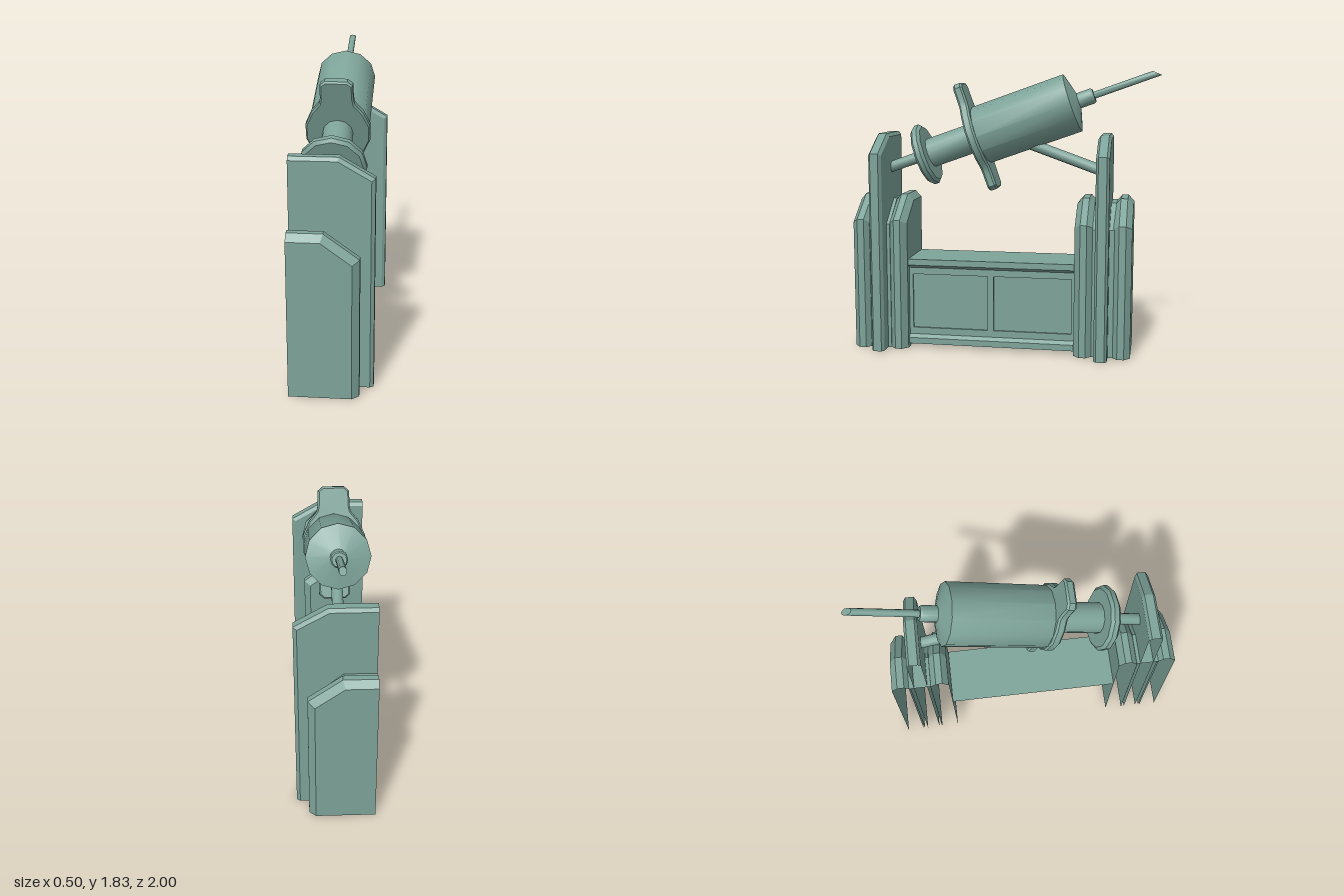
import * as THREE from 'three';
import { toCreasedNormals } from 'three/addons/utils/BufferGeometryUtils.js';

const flat = new THREE.MeshStandardMaterial({ color: 0x7da399, flatShading: true, side: THREE.DoubleSide });
const smooth = new THREE.MeshStandardMaterial({ color: 0x7da399, side: THREE.DoubleSide });
const BACK = -0.25; // open wall side

function add(parent, name, geometry, material = flat) {
  const mesh = new THREE.Mesh(geometry, material);
  mesh.name = name;
  parent.add(mesh);
  return mesh;
}

// Skin over open [x, y] outlines stacked along z; optional flat end caps
function skin(rings, capped) {
  const pos = [];
  const tri = (...pts) => pts.forEach((p) => pos.push(...p));
  const loops = rings.map(({ z, pts }) => pts.map(([x, y]) => [x, y, z]));
  for (let r = 0; r < loops.length - 1; r++) {
    const lo = loops[r], hi = loops[r + 1];
    for (let k = 0; k < lo.length - 1; k++) {
      tri(lo[k], hi[k], hi[k + 1]);
      tri(lo[k], hi[k + 1], lo[k + 1]);
    }
  }
  if (capped) {
    [loops[0], loops[loops.length - 1]].forEach((loop, end) => {
      const poly = [...loop, [BACK, 0.005, loop[0][2]]];
      for (let k = 1; k < poly.length - 1; k++) {
        if (end) tri(poly[0], poly[k + 1], poly[k]);
        else tri(poly[0], poly[k], poly[k + 1]);
      }
    });
  }
  const g = new THREE.BufferGeometry();
  g.setAttribute('position', new THREE.Float32BufferAttribute(pos, 3));
  g.computeVertexNormals();
  return g;
}

// Upright slab with one sloped corner, bevelled on both faces, open at the back and below
function slab(z0, z1, top, kneeX, right, shoulderY, inset, bevelZ) {
  const outline = (i) => [
    [BACK, top - i], [kneeX - 0.35 * i, top - i],
    [right - i, shoulderY - 0.55 * i], [right - i, 0.005],
  ];
  return skin([
    { z: z0, pts: outline(inset) }, { z: z0 + bevelZ, pts: outline(0) },
    { z: z1 - bevelZ, pts: outline(0) }, { z: z1, pts: outline(inset) },
  ], true);
}

function lathe(points, sides = 12) {
  const g = new THREE.LatheGeometry(points.map(([r, y]) => new THREE.Vector2(r, y)), sides);
  return toCreasedNormals(g, 0.6);
}

function rod(a, b, radius) {
  const from = new THREE.Vector3(...a), dir = new THREE.Vector3(...b).sub(from);
  const g = new THREE.CylinderGeometry(radius, radius, dir.length(), 10);
  g.applyQuaternion(new THREE.Quaternion().setFromUnitVectors(
    new THREE.Vector3(0, 1, 0), dir.clone().normalize()));
  g.translate(...from.addScaledVector(dir, 0.5).toArray());
  return toCreasedNormals(g, 0.7);
}

function rect(path, z0, y0, z1, y1) {
  path.moveTo(z0, y0);
  path.lineTo(z1, y0);
  path.lineTo(z1, y1);
  path.lineTo(z0, y1);
  path.closePath();
  return path;
}

export function createModel() {
  const model = new THREE.Group();
  model.name = 'wallSign';

  // Two stepped end pillars, mirrored about the middle of the base
  const mid = 0.083;
  for (const side of [1, -1]) {
    const pillar = new THREE.Group();
    pillar.name = side > 0 ? 'frontPillar' : 'backPillar';
    const put = (name, z0, z1, ...rest) => {
      const a = mid + side * (z0 - mid), b = mid + side * (z1 - mid);
      add(pillar, name, slab(Math.min(a, b), Math.max(a, b), ...rest));
    };
    put('outerSlab', 0.88, 1.0, 1.02, -0.04, 0.167, 0.87, 0.042, 0.038);
    put('filler', 0.75, 0.89, 0.99, -0.05, 0.135, 0.84, 0, 0.02);
    put('tallSlab', 0.772, 0.857, 1.43, 0.04, 0.245, 1.31, 0.022, 0.016);
    put('innerSlab', 0.635, 0.753, 1.02, -0.04, 0.167, 0.87, 0.042, 0.038);
    model.add(pillar);
  }

  // Base between the pillars: moulded profile with two sunken panels
  const profile = [[BACK, 0.605], [0.11, 0.605], [0.11, 0.565], [0.085, 0.545], [0.068, 0.545],
    [0.068, 0.09], [0.085, 0.09], [0.11, 0.07], [0.11, 0.03], [0.068, 0.03]];
  add(model, 'base', skin([{ z: -0.467, pts: profile }, { z: 0.637, pts: profile }], false));
  const frame = rect(new THREE.Shape(), -0.637, 0.09, 0.467, 0.545);
  frame.holes.push(rect(new THREE.Path(), -0.61, 0.135, -0.105, 0.5));
  frame.holes.push(rect(new THREE.Path(), -0.065, 0.135, 0.45, 0.5));
  const frameGeo = new THREE.ExtrudeGeometry(frame, { depth: 0.012, bevelEnabled: false });
  frameGeo.rotateY(Math.PI / 2).translate(0.07, 0, 0);
  add(model, 'panelFrame', frameGeo);

  // Tilted syringe, built along its own y axis from the thumb disc
  const syringe = new THREE.Group();
  syringe.name = 'syringe';
  syringe.position.set(-0.026, 1.29, 0.533);
  syringe.rotation.x = -1.229;
  model.add(syringe);
  add(syringe, 'thumbDisc', lathe([[0, -0.032], [0.185, -0.032], [0.205, -0.015],
    [0.205, 0.015], [0.185, 0.032], [0, 0.032]]), smooth);
  add(syringe, 'plunger', lathe([[0.096, 0.02], [0.096, 0.4]]), smooth);
  add(syringe, 'barrel', lathe([[0, 0.36], [0.175, 0.36], [0.192, 0.385], [0.192, 1.028],
    [0.05, 1.068], [0.05, 1.16], [0.042, 1.172], [0, 1.172]]), smooth);

  // Finger flange with a wing at each end
  const quarter = [[0.19, 0.05], [0.15, 0.14], [0.1, 0.2], [0.092, 0.24], [0.09, 0.33], [0.065, 0.352]];
  const pts = [
    ...quarter,
    ...quarter.map(([x, y]) => [-x, y]).reverse(),
    ...quarter.map(([x, y]) => [-x, -y]),
    ...quarter.map(([x, y]) => [x, -y]).reverse(),
  ].map(([x, y]) => new THREE.Vector2(x, y));
  const flange = new THREE.ExtrudeGeometry(new THREE.Shape(pts), {
    depth: 0.036, bevelThickness: 0.012, bevelSize: 0.01, bevelSegments: 1,
  });
  flange.rotateX(-Math.PI / 2).translate(0, 0.347, 0);
  add(syringe, 'fingerFlange', toCreasedNormals(flange, 0.6), smooth);

  // Needle with a slanted tip
  const needle = new THREE.CylinderGeometry(0.022, 0.022, 0.46, 10);
  needle.translate(0, 1.385, 0);
  const p = needle.attributes.position;
  for (let i = 0; i < p.count; i++) {
    if (p.getY(i) > 1.5) p.setY(i, 1.615 - (p.getZ(i) + 0.022) * 1.1);
  }
  add(syringe, 'needle', toCreasedNormals(needle, 0.7), smooth);

  // Rods that hold the syringe between the tall slabs
  add(model, 'frontRod', rod([-0.026, 1.2, 0.79], [-0.026, 1.29, 0.533], 0.036), smooth);
  add(model, 'backRod', rod([-0.026, 1.2, -0.63], [-0.026, 1.4, -0.07], 0.036), smooth);
  return model;
}
